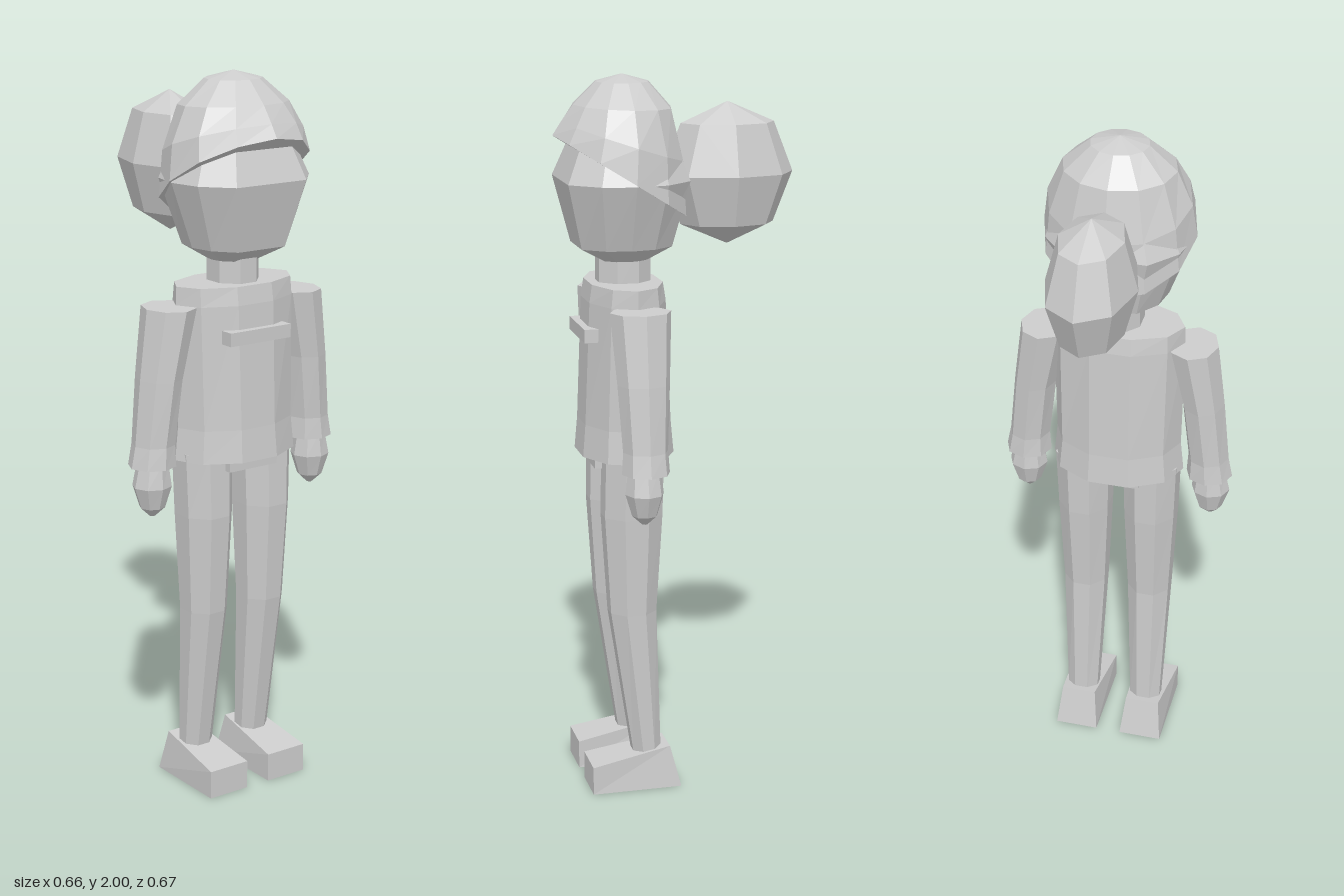
import * as THREE from 'three';

const CZ = 0.145; // depth of the body axis

export function createModel() {
  const model = new THREE.Group();
  model.name = 'figure';
  const grey = new THREE.MeshStandardMaterial({ color: 0xcccccc, flatShading: true });
  grey.name = 'light grey';

  const add = (name, geometry) => {
    const mesh = new THREE.Mesh(geometry, grey);
    mesh.name = name;
    model.add(mesh);
    return mesh;
  };

  // Unit outline of a ring, running counter-clockwise seen from above
  const outline = (n, phase = 0) => Array.from({ length: n }, (_, i) => {
    const a = (i + phase) / n * Math.PI * 2;
    return [Math.sin(a), Math.cos(a)];
  });

  // Closed skin over rings [cx, y, cz, rx, rz, tilt], listed bottom to top
  const loft = (name, unit, rings) => {
    const pos = [], n = unit.length;
    const pts = rings.map(([cx, y, cz, rx, rz, tilt = 0]) =>
      unit.map(([u, v]) => [cx + u * rx, y + v * tilt, cz + v * rz]));
    const mid = rings.map(([cx, y, cz]) => [cx, y, cz]);
    const last = rings.length - 1;
    for (let j = 0; j < n; j++) {
      const k = (j + 1) % n;
      for (let i = 0; i < last; i++) {
        const [a, b, c, d] = [pts[i][j], pts[i][k], pts[i + 1][k], pts[i + 1][j]];
        pos.push(...a, ...b, ...c, ...a, ...c, ...d);
      }
      pos.push(...mid[0], ...pts[0][k], ...pts[0][j]);
      pos.push(...mid[last], ...pts[last][j], ...pts[last][k]);
    }
    const g = new THREE.BufferGeometry();
    g.setAttribute('position', new THREE.Float32BufferAttribute(pos, 3));
    g.computeVertexNormals();
    return add(name, g);
  };

  const box = (name, w, h, d, x, y, z) =>
    add(name, new THREE.BoxGeometry(w, h, d)).position.set(x, y, z);

  // Head with a broad flat face
  const half = [[0.56, 1], [0.9, 0.54], [1, 0], [0.9, -0.54], [0.56, -1]];
  const headOutline = [...half, ...half.map(([u, v]) => [-u, v]).reverse()];
  loft('head', headOutline, [
    [0, 1.5, CZ, 0.07, 0.06],
    [0, 1.54, 0.15, 0.137, 0.125],
    [0, 1.72, 0.15, 0.203, 0.167],
    [0, 1.86, CZ, 0.14, 0.115],
  ]);

  // Hair cap, its rim high at the brow and low at the nape
  loft('hairCap', outline(12), [
    [0, 1.725, 0.152, 0.21, 0.184, 0.115],
    [0, 1.82, CZ, 0.197, 0.168, 0.055],
    [0, 1.915, CZ, 0.155, 0.135, 0.005],
    [0, 1.98, CZ, 0.08, 0.073],
    [0, 2.0, CZ, 0.001, 0.001],
  ]);

  // Gathered hair behind the head
  const bun = add('hairBun', new THREE.SphereGeometry(1, 8, 4));
  bun.scale.set(0.123, 0.195, 0.187);
  bun.position.set(0, 1.725, -0.15);

  // Neck, shirt, chest pocket and hips
  loft('neck', outline(8, 0.5), [
    [0, 1.42, CZ, 0.07, 0.078],
    [0, 1.53, CZ, 0.07, 0.078],
  ]);
  loft('torso', outline(10, 0.5), [
    [0, 0.96, CZ, 0.19, 0.135],
    [0, 1.05, CZ, 0.181, 0.127],
    [0, 1.39, CZ, 0.187, 0.112],
    [0, 1.44, CZ, 0.185, 0.104],
  ]);
  box('chestPocket', 0.2, 0.037, 0.05, 0, 1.307, 0.25);
  box('hips', 0.16, 0.07, 0.19, 0, 0.965, 0.15);

  for (const s of [1, -1]) {
    const side = s > 0 ? 'left' : 'right';

    // Sleeve with flared cuff
    loft(side + 'Arm', outline(8), [
      [s * 0.266, 0.96, CZ, 0.066, 0.066],
      [s * 0.262, 1.02, CZ, 0.058, 0.062],
      [s * 0.243, 1.2, CZ, 0.06, 0.072],
      [s * 0.21, 1.39, CZ, 0.07, 0.084],
    ]);
    loft(side + 'Hand', outline(8), [
      [s * 0.27, 0.82, 0.15, 0.008, 0.008],
      [s * 0.27, 0.845, 0.15, 0.035, 0.035],
      [s * 0.27, 0.905, 0.15, 0.055, 0.053],
      [s * 0.268, 0.97, 0.15, 0.042, 0.045],
    ]);

    // Leg, bending slightly back at the knee
    loft(side + 'Leg', outline(8, 0.5), [
      [s * 0.098, 0.1, 0.109, 0.049, 0.043],
      [s * 0.097, 0.52, 0.147, 0.066, 0.07],
      [s * 0.098, 0.8, 0.147, 0.079, 0.088],
      [s * 0.099, 0.98, 0.143, 0.084, 0.088],
    ]);

    // Wedge foot: a box with its top sloping to the toe
    const foot = new THREE.BoxGeometry(0.126, 1, 1);
    const p = foot.attributes.position;
    for (let i = 0; i < p.count; i++) {
      const top = p.getY(i) > 0, toe = p.getZ(i) > 0;
      if (top && !toe) p.setX(i, p.getX(i) * 0.8);
      p.setY(i, top ? (toe ? 0.08 : 0.12) : 0);
      p.setZ(i, toe ? 0.275 : (top ? 0.05 : 0.02));
    }
    foot.computeVertexNormals();
    add(side + 'Foot', foot).position.x = s * 0.1;
  }
  return model;
}
